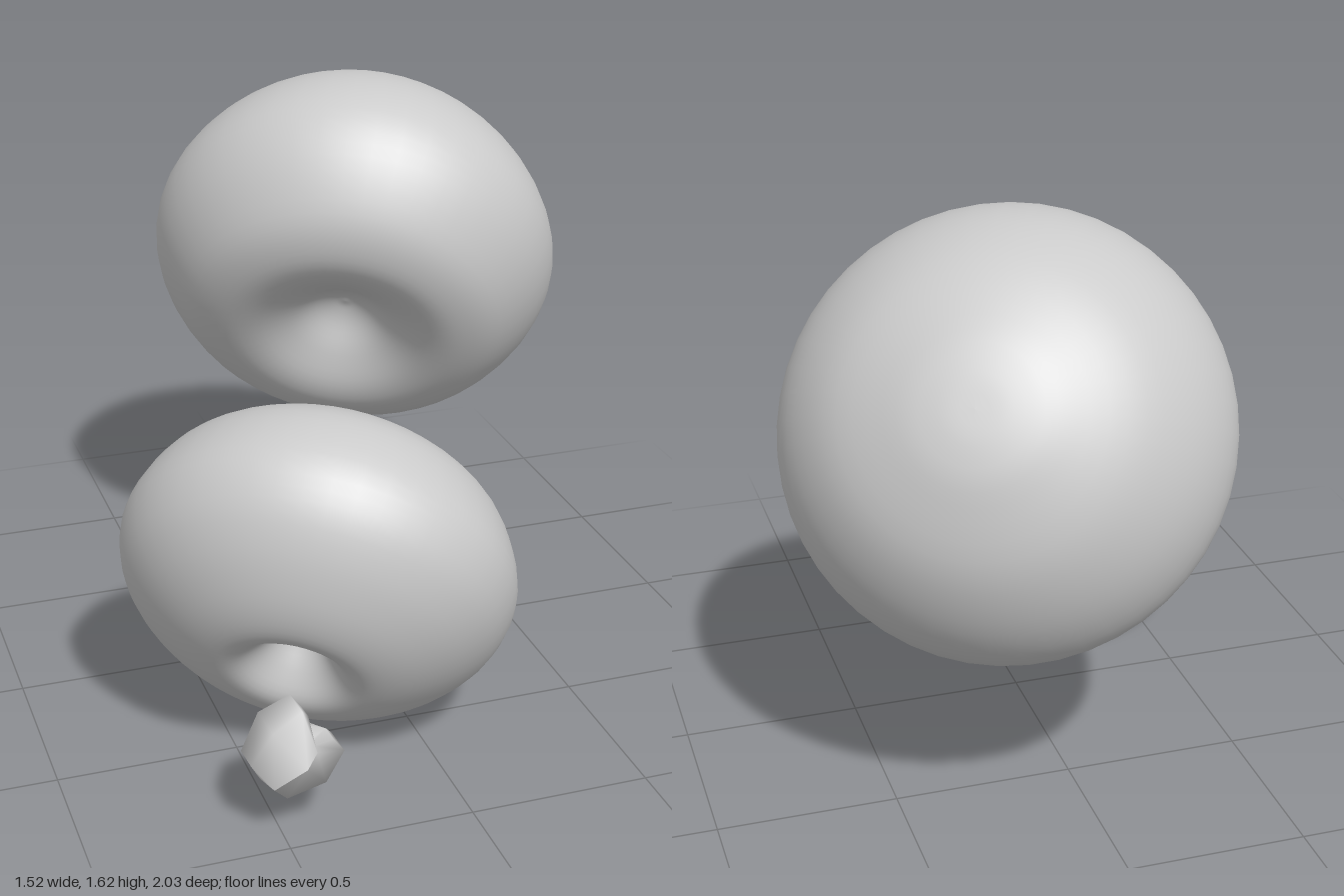
import * as THREE from 'three';

const UP = new THREE.Vector3(0, 1, 0);

// Lathe around y from (radius, height) pairs, optionally smoothed by a spline
function lathe(profile, sides, smoothing) {
  let points = profile.map(([r, h]) => new THREE.Vector2(r, h));
  if (smoothing) points = new THREE.SplineCurve(points).getPoints(smoothing);
  points.forEach((p) => { p.x = Math.max(p.x, 0); });
  return new THREE.LatheGeometry(points, sides);
}

// Turns a lathed shape so its dimple end points along axis, and centres its bounds on a point
function place(name, geometry, axis, centre) {
  const direction = new THREE.Vector3(...axis).normalize();
  geometry.applyQuaternion(new THREE.Quaternion().setFromUnitVectors(UP, direction));
  geometry.center();
  geometry.translate(...centre);
  const mesh = new THREE.Mesh(geometry, new THREE.MeshStandardMaterial({ color: 0xcccccc, side: THREE.DoubleSide }));
  mesh.name = name;
  return mesh;
}

export function createModel() {
  const group = new THREE.Group();
  group.name = 'dimpledBodies';

  // Large domed body with a wide, shallow dimple
  const large = lathe([
    [0, -0.44], [0.1, -0.435], [0.22, -0.405], [0.4, -0.31], [0.54, -0.15], [0.607, 0.03], [0.575, 0.19],
    [0.47, 0.335], [0.36, 0.395], [0.26, 0.395], [0.16, 0.345], [0.08, 0.285], [0.03, 0.262], [0, 0.26],
  ], 48, 56);
  group.add(place('largeBody', large, [-0.39, -0.5, 0.77], [0.175, 1.07, -0.485]));

  // Smaller, flatter body with a tight dimple
  const small = lathe([
    [0, -0.365], [0.1, -0.36], [0.22, -0.335], [0.36, -0.275], [0.48, -0.17], [0.545, -0.01],
    [0.52, 0.12], [0.44, 0.225], [0.33, 0.305], [0.23, 0.345], [0.16, 0.34], [0.1, 0.285],
    [0.05, 0.22], [0.02, 0.202], [0, 0.2],
  ], 48, 56);
  group.add(place('smallBody', small, [-0.45, -0.53, 0.72], [-0.25, 0.515, 0.46]));

  // Coarse little nub, its rim notched on two opposite corners
  const nub = lathe([
    [0, -0.115], [0.085, -0.1], [0.125, 0], [0.1, 0.09], [0.06, 0.09], [0.03, 0], [0, -0.01],
  ], 6);
  const position = nub.attributes.position;
  for (let i = 0; i < position.count; i++) {
    const onNotch = Math.abs(position.getX(i)) < 0.01 && Math.abs(position.getZ(i)) > 0.05;
    if (onNotch && position.getY(i) > 0.05) position.setY(i, 0.045);
  }
  nub.computeVertexNormals();
  group.add(place('nub', nub, [0.75, 0.62, -0.05], [-0.46, 0.245, 0.893]));

  return group;
}
